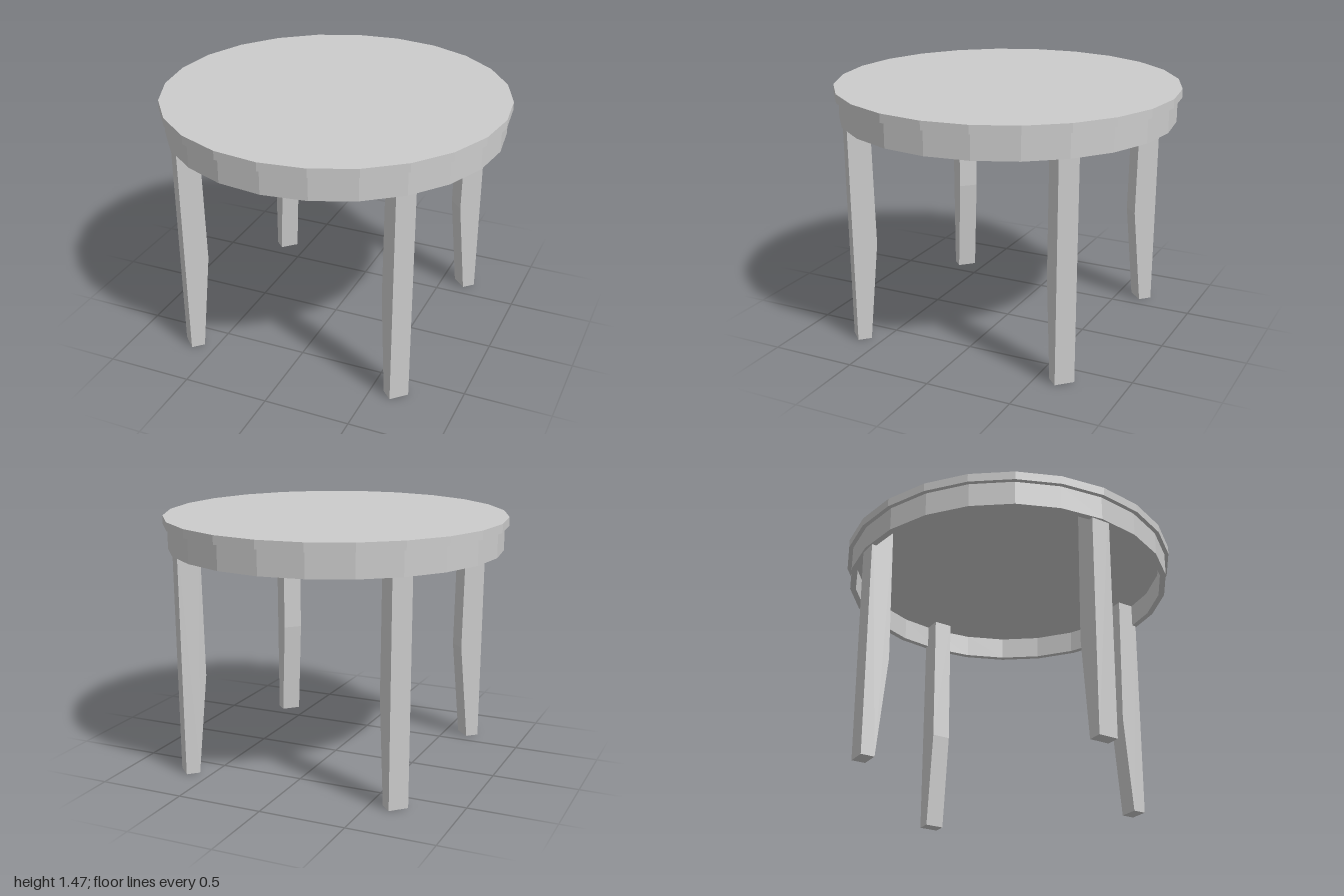
import * as THREE from 'three';

const SIDES = 24;
const LEG_WIDTH = 0.115;

export function createModel() {
  const table = new THREE.Group();
  table.name = 'roundTable';
  const material = new THREE.MeshStandardMaterial({ color: 0xcccccc, flatShading: true });

  const add = (name, geometry) => {
    const mesh = new THREE.Mesh(geometry, material);
    mesh.name = name;
    table.add(mesh);
    return mesh;
  };

  // Faceted slab with a small overhang
  add('tableTop', new THREE.CylinderGeometry(1, 1, 0.05, SIDES)).position.y = 1.447;

  // Thin hollow ring under the slab: inner wall, bottom edge, outer wall
  const ring = [[0.94, 1.422], [0.94, 1.28], [0.975, 1.28], [0.975, 1.422]];
  add('apron', new THREE.LatheGeometry(ring.map(([r, y]) => new THREE.Vector2(r, y)), SIDES));

  // Leg profile (distance from centre, height): the inner side tapers below the knee
  const profile = new THREE.Shape(
    [[0.87, 0], [0.95, 0], [0.96, 1.422], [0.83, 1.422], [0.815, 0.59]]
      .map(([r, y]) => new THREE.Vector2(r, y))
  );
  const legGeometry = new THREE.ExtrudeGeometry(profile, { depth: LEG_WIDTH, bevelEnabled: false });
  legGeometry.translate(0, 0, -LEG_WIDTH / 2);

  // Four legs on the diagonals
  ['backLeftLeg', 'backRightLeg', 'frontRightLeg', 'frontLeftLeg'].forEach((name, i) => {
    add(name, legGeometry).rotation.y = Math.PI / 4 + i * Math.PI / 2;
  });

  return table;
}
